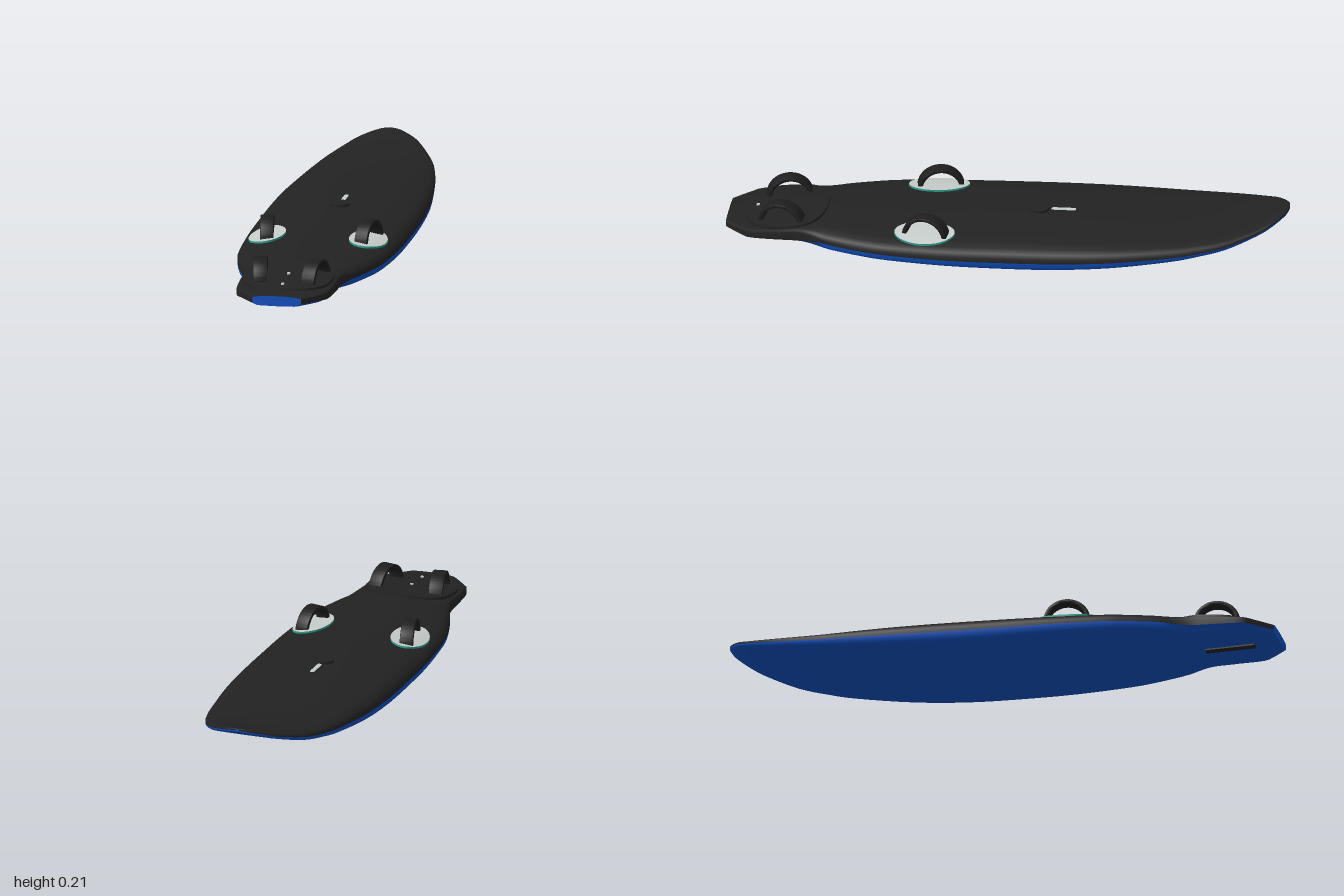
import * as THREE from 'three';
import { toCreasedNormals } from 'three/addons/utils/BufferGeometryUtils.js';

const mat = (name, color, side = THREE.FrontSide) => {
  const m = new THREE.MeshStandardMaterial({ color, side });
  m.name = name;
  return m;
};

// Hull stations from nose to tail: z, half width, deck height, bottom height
const STATIONS = [
  [-1, 0.006, 0.21, 0.2], [-0.99, 0.045, 0.209, 0.191], [-0.95, 0.1, 0.197, 0.17],
  [-0.9, 0.14, 0.181, 0.148], [-0.8, 0.193, 0.16, 0.113], [-0.7, 0.222, 0.149, 0.089],
  [-0.6, 0.242, 0.143, 0.069], [-0.4, 0.268, 0.137, 0.04], [-0.2, 0.278, 0.131, 0.02],
  [0, 0.279, 0.122, 0.01], [0.2, 0.277, 0.11, 0.006], [0.4, 0.262, 0.1, 0.005],
  [0.5, 0.243, 0.095, 0.005], [0.6, 0.214, 0.09, 0.005], [0.66, 0.19, 0.085, 0.005],
  [0.72, 0.175, 0.077, 0.005], [0.8, 0.172, 0.066, 0.005], [0.9, 0.165, 0.053, 0.006],
  [0.94, 0.141, 0.048, 0.006], [1, 0.088, 0.042, 0.006],
];
// Half cross-section: fraction of half width, fraction of thickness
const DECK = [[0, 1], [0.2, 0.99], [0.4, 0.96], [0.6, 0.91], [0.78, 0.84], [0.9, 0.75], [0.97, 0.64], [1, 0.5], [1, 0.36]];
const BOTTOM = [[1, 0.36], [0.995, 0.22], [0.97, 0.12], [0.92, 0.06], [0.8, 0.03], [0.4, 0.01], [0, 0]];

const curveA = new THREE.CatmullRomCurve3(STATIONS.map(s => new THREE.Vector3(s[0], s[1], 0)), false, 'catmullrom', 0.5);
const curveB = new THREE.CatmullRomCurve3(STATIONS.map(s => new THREE.Vector3(s[2], s[3], 0)), false, 'catmullrom', 0.5);
const ROWS = [];
const N = (STATIONS.length - 1) * 4;
for (let i = 0; i <= N; i++) {
  const a = curveA.getPoint(i / N), b = curveB.getPoint(i / N);
  // the tail is flatter on deck and tucked underneath
  ROWS.push({ z: a.x, w: a.y, t: b.x, b: b.y, tail: THREE.MathUtils.smoothstep(a.x, 0.62, 0.74) });
}

const deckV = (v, tail) => (v > 0.4 ? 1 - (1 - v) * (1 - 0.5 * tail) : v - 0.06 * tail);

function deckPoint(r, [u, v], s) {
  return [s * u * r.w, r.b + (r.t - r.b) * deckV(v, r.tail), r.z];
}
function bottomPoint(r, [u, v], s) {
  const tuck = v < 0.3 ? 1 - 0.1 * r.tail : 1;
  const vv = v > 0.3 ? v - 0.06 * r.tail : v;
  return [s * u * r.w * tuck, r.b + (r.t - r.b) * vv, r.z];
}
const deckSection = r => [
  ...DECK.slice(1).reverse().map(p => deckPoint(r, p, -1)), ...DECK.map(p => deckPoint(r, p, 1))];
const bottomSection = r => [
  ...BOTTOM.map(p => bottomPoint(r, p, 1)), ...BOTTOM.slice(0, -1).reverse().map(p => bottomPoint(r, p, -1))];

// Height of the deck surface at any x, z
function deckY(x, z) {
  let i = 0;
  while (i < ROWS.length - 2 && ROWS[i + 1].z < z) i++;
  const p = ROWS[i], q = ROWS[i + 1], f = (z - p.z) / (q.z - p.z);
  const mix = k => p[k] + (q[k] - p[k]) * f;
  const u = Math.min(Math.abs(x) / mix('w'), 0.99);
  let j = 0;
  while (j < DECK.length - 3 && DECK[j + 1][0] < u) j++;
  const g = (u - DECK[j][0]) / (DECK[j + 1][0] - DECK[j][0]);
  const v = DECK[j][1] + (DECK[j + 1][1] - DECK[j][1]) * g;
  return mix('b') + (mix('t') - mix('b')) * deckV(v, mix('tail'));
}

// Skin a list of equally long point rows
function loft(rows, closed = false) {
  const n = rows[0].length, index = [];
  for (let i = 0; i < rows.length - 1; i++) {
    for (let j = 0; j < (closed ? n : n - 1); j++) {
      const a = i * n + j, b = i * n + (j + 1) % n;
      index.push(a, a + n, b, b, a + n, b + n);
    }
  }
  const g = new THREE.BufferGeometry();
  g.setAttribute('position', new THREE.Float32BufferAttribute(rows.flat(2), 3));
  g.setIndex(index);
  g.computeVertexNormals();
  return g;
}

function add(parent, name, geometry, material) {
  const m = new THREE.Mesh(geometry, material);
  m.name = name;
  parent.add(m);
  return m;
}

// Plate that follows the deck: top face plus a skirt; power > 2 squares the outline
function deckPlate(parent, name, { x, z, a, b, h, power = 2, turn = 0 }, topMat, rimMat) {
  const seg = 40, pw = c => Math.sign(c) * Math.abs(c) ** (2 / power);
  const ring = (k, lift) => Array.from({ length: seg }, (_, i) => {
    const t = -i / seg * Math.PI * 2;
    const ex = a * k * pw(Math.cos(t)), ez = b * k * pw(Math.sin(t));
    const px = x + ex * Math.cos(turn) + ez * Math.sin(turn);
    const pz = z - ex * Math.sin(turn) + ez * Math.cos(turn);
    return [px, deckY(px, pz) + lift, pz];
  });
  const top = [0.001, 0.25, 0.5, 0.75, 0.9, 1].map(k => ring(k, h));
  add(parent, name, loft(top.reverse(), true).scale(1, 1, 1), topMat);
  add(parent, name + 'Rim', loft([ring(1.01, -0.008), ring(1, h)], true), rimMat);
}

// Arched foot strap with its feet sunk into the deck
function strap(parent, name, s, x, z, width, height, material) {
  const shape = new THREE.Shape();
  shape.absellipse(0, 0, 0.083, height, 0, Math.PI, false);
  shape.lineTo(-0.066, 0);
  shape.absellipse(0, 0, 0.066, height - 0.014, Math.PI, 0, true);
  const geo = new THREE.ExtrudeGeometry(shape, {
    depth: width - 0.008, curveSegments: 20, bevelThickness: 0.004, bevelSize: 0.003, bevelOffset: -0.003, bevelSegments: 2,
  });
  geo.translate(0, 0, -(width - 0.008) / 2).rotateY(Math.PI / 2);
  const m = add(parent, name, toCreasedNormals(geo, 0.7), material);
  m.position.set(s * x, deckY(x, z) - 0.008, z);
  m.rotation.y = -0.18 * s;
}

export function createModel() {
  const board = new THREE.Group();
  board.name = 'sailboard';
  const black = mat('deckBlack', 0x222222, THREE.DoubleSide);
  const strapBlack = mat('strapBlack', 0x1e1e1e);
  const blue = mat('hullBlue', 0x104fbd, THREE.DoubleSide);
  const grey = mat('padGrey', 0xc6ccca, THREE.DoubleSide);
  const teal = mat('trimTeal', 0x2a9d8c, THREE.DoubleSide);

  // Hull shell
  add(board, 'deck', loft(ROWS.map(deckSection)), black);
  add(board, 'hullBottom', loft(ROWS.map(bottomSection)), blue);
  const last = ROWS[N];
  const rim = [...deckSection(last), ...bottomSection(last)];
  const centre = rim.map(() => [0, (last.t + last.b) / 2, last.z]);
  add(board, 'transom', loft([rim, centre], true), blue);

  // Fin slot under the tail
  add(board, 'finSlot', new THREE.BoxGeometry(0.028, 0.008, 0.18).translate(0, 0.004, 0.82), black);

  // Tail pad with two fixing screws
  deckPlate(board, 'tailPad', { x: 0, z: 0.79, a: 0.158, b: 0.145, h: 0.009, power: 2.6 }, black, black);
  for (const z of [0.79, 0.897]) {
    deckPlate(board, 'screwCollar', { x: 0, z, a: 0.011, b: 0.011, h: 0.012 }, strapBlack, strapBlack);
    deckPlate(board, 'screw', { x: 0, z, a: 0.006, b: 0.006, h: 0.0135 }, grey, grey);
  }

  // Mast track and base
  deckPlate(board, 'trackFrame', { x: 0, z: -0.19, a: 0.014, b: 0.054, h: 0.002, power: 4 }, black, black);
  deckPlate(board, 'mastTrack', { x: 0, z: -0.193, a: 0.008, b: 0.043, h: 0.004, power: 6 }, grey, grey);
  deckPlate(board, 'mastBase', { x: 0, z: -0.108, a: 0.035, b: 0.035, h: 0.01 }, black, black);

  // Foot pads and straps on both sides
  for (const s of [-1, 1]) {
    const side = s > 0 ? 'left' : 'right';
    deckPlate(board, side + 'FootPad', { x: s * 0.182, z: 0.277, a: 0.065, b: 0.108, h: 0.007, turn: -0.06 * s }, grey, teal);
    strap(board, side + 'FrontStrap', s, 0.183, 0.272, 0.048, 0.08, strapBlack);
    strap(board, side + 'RearStrap', s, 0.1, 0.797, 0.05, 0.08, strapBlack);
  }
  return board;
}
